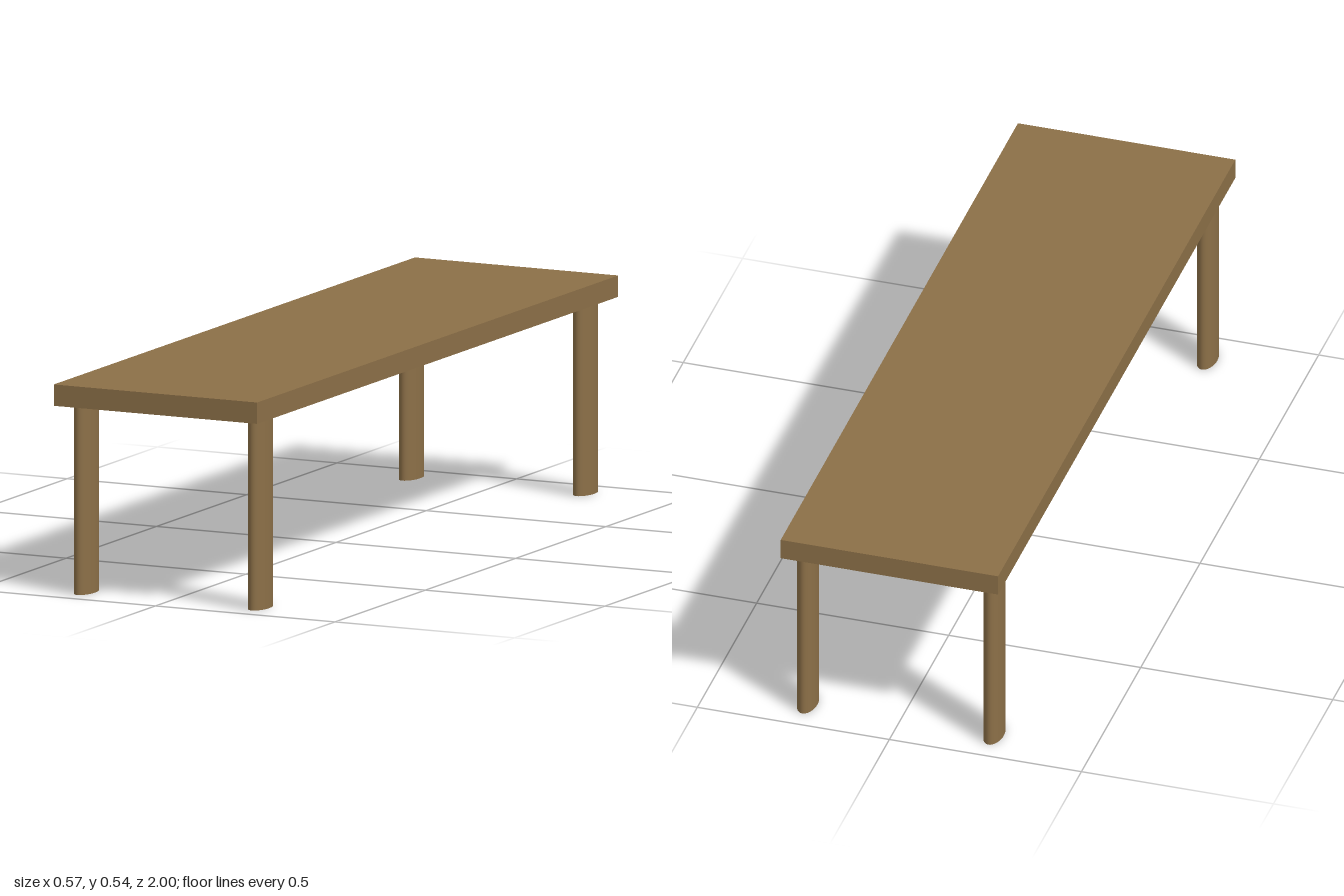
import * as THREE from 'three';

export function createModel() {
  const model = new THREE.Group();
  model.name = 'table';
  const wood = new THREE.MeshStandardMaterial({ color: 0x8b6f47 });

  const legHeight = 0.483, topThickness = 0.054;

  // Long flat slab
  const top = new THREE.Mesh(new THREE.BoxGeometry(0.566, topThickness, 2), wood);
  top.name = 'tableTop';
  top.position.y = legHeight + topThickness / 2;
  model.add(top);

  // Four legs, oval in section and longer along z
  const legGeometry = new THREE.CylinderGeometry(1, 1, legHeight, 32);
  legGeometry.scale(0.0243, 1, 0.05);
  for (const [side, sx] of [['Left', 1], ['Right', -1]]) {
    for (const [end, sz] of [['front', 1], ['back', -1]]) {
      const leg = new THREE.Mesh(legGeometry, wood);
      leg.name = `${end}${side}Leg`;
      leg.position.set(sx * 0.2425, legHeight / 2, sz * 0.9);
      model.add(leg);
    }
  }
  return model;
}
